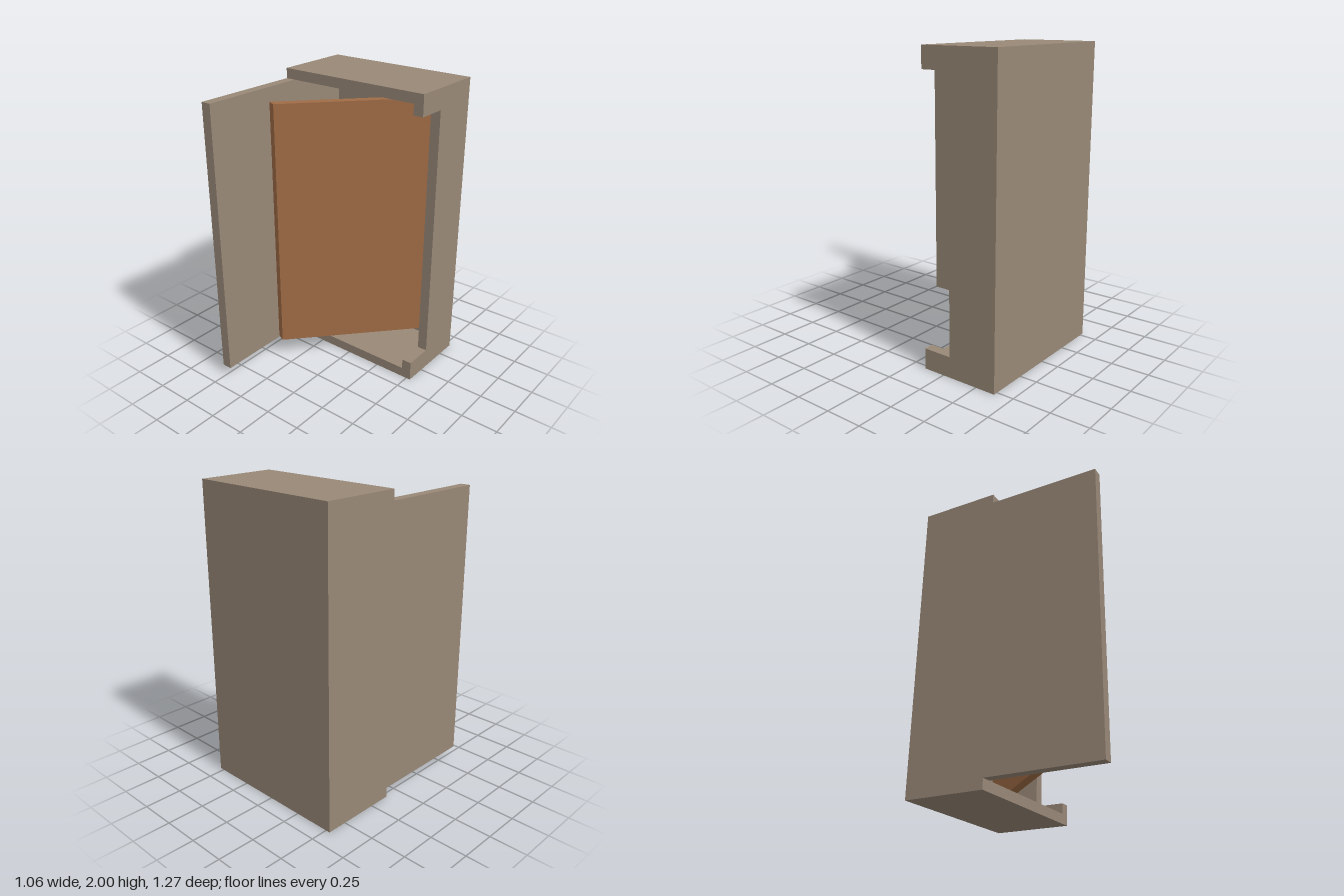
import * as THREE from 'three';

export function createModel() {
  const model = new THREE.Group();
  model.name = 'cabinet';
  const grey = new THREE.MeshStandardMaterial({ color: 0x988877 });
  grey.name = 'greyBoard';
  const wood = new THREE.MeshStandardMaterial({ color: 0xa06c46 });
  wood.name = 'brownWood';

  const X = 0.53, T = 0.067, H = 2;          // half width, board thickness, height
  const back = -0.635, front = -0.105, doorEnd = 0.635;

  const add = (name, geometry, material) => {
    const mesh = new THREE.Mesh(geometry, material);
    mesh.name = name;
    model.add(mesh);
  };
  // Board given by its two opposite corners
  const board = (name, [x0, y0, z0], [x1, y1, z1]) => {
    const g = new THREE.BoxGeometry(x1 - x0, y1 - y0, z1 - z0);
    g.translate((x0 + x1) / 2, (y0 + y1) / 2, (z0 + z1) / 2);
    add(name, g, grey);
  };
  const outline = (points) => new THREE.Shape(points.map(([a, b]) => new THREE.Vector2(a, b)));

  // Case
  board('bottomBoard', [-X, 0, back], [X, T, front]);
  board('topBoard', [-X, H - T, back], [X, H, front]);
  board('backBoard', [-X + T, T, back], [X - T, H - T, back + T]);

  // Closed side running forward into the open door
  board('sideWallAndOpenDoor', [-X, T, back], [-X + T, H - T, doorEnd]);

  // Other side, cut back at the front between two tabs (profile in -z, y)
  const cut = 0.3, lo = 0.137, hi = H - 0.137;
  const side = new THREE.ExtrudeGeometry(outline([
    [-front, T], [-back, T], [-back, H - T], [-front, H - T],
    [-front, hi], [cut, hi], [cut, lo], [-front, lo],
  ]), { depth: T, bevelEnabled: false });
  side.rotateY(Math.PI / 2);
  side.translate(X - T, 0, 0);
  add('notchedSideWall', side, grey);

  // Slanted inner panel (plan in x, -z)
  const panel = new THREE.ExtrudeGeometry(outline([
    [-0.4, -0.203], [-0.343, -0.23], [0.37, 0.546], [0.313, 0.567],
  ]), { depth: hi - lo, bevelEnabled: false });
  panel.rotateX(-Math.PI / 2);
  panel.translate(0, lo, 0);
  add('slantedPanel', panel, wood);

  return model;
}
